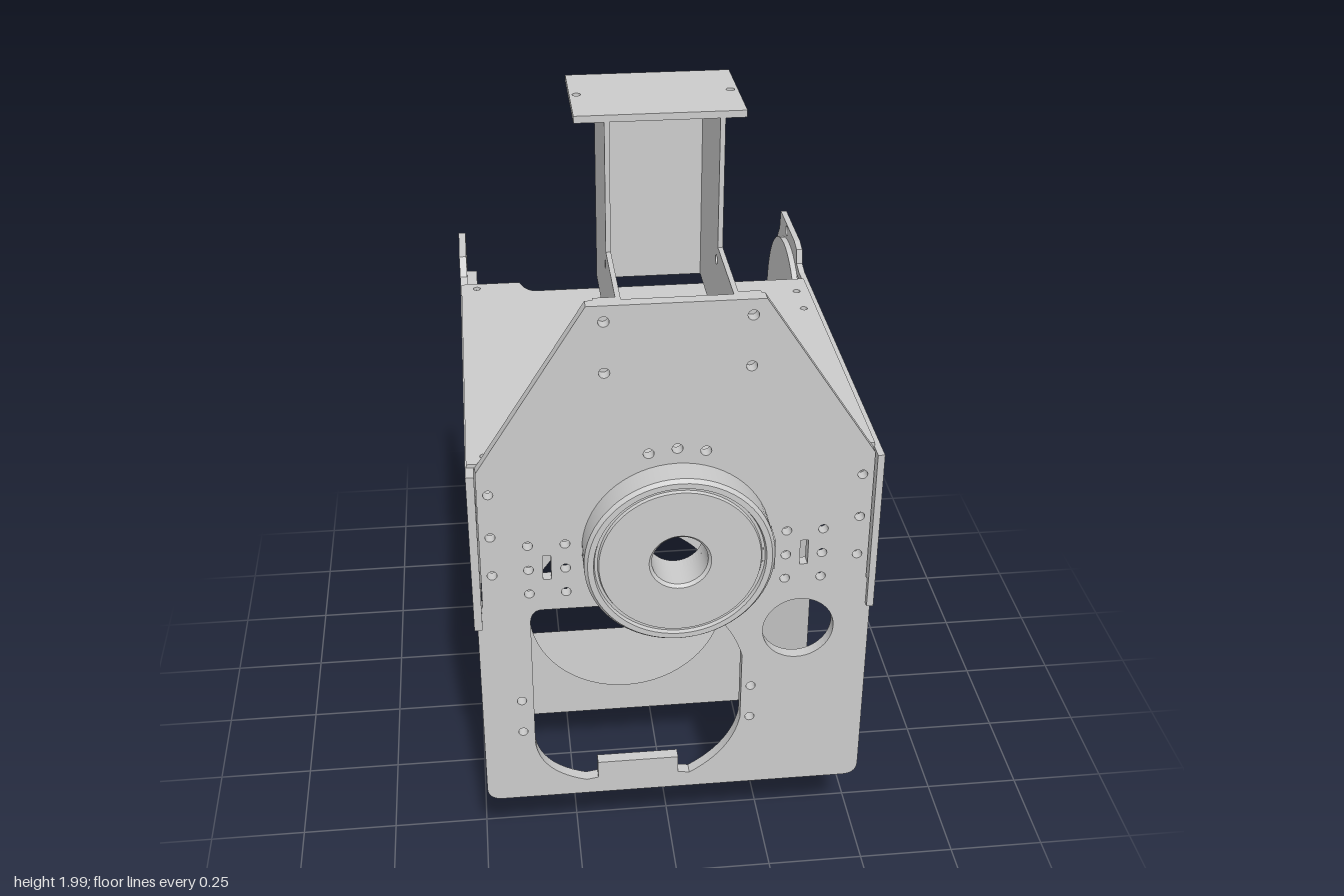
import * as THREE from 'three';

const mat = new THREE.MeshStandardMaterial({ color: 0xcccccc, side: THREE.DoubleSide });

function add(group, name, geo) {
  const mesh = new THREE.Mesh(geo, mat);
  mesh.name = name;
  group.add(mesh);
  return mesh;
}
function poly(points, T = THREE.Shape) {
  return new T(points.map(([x, y]) => new THREE.Vector2(x, y)));
}
function circle(shape, x, y, r) {
  shape.holes.push(new THREE.Path().absarc(x, y, r, 0, Math.PI * 2, true));
}
function rectHole(shape, x0, y0, x1, y1) {
  shape.holes.push(poly([[x0, y0], [x0, y1], [x1, y1], [x1, y0]], THREE.Path));
}
function sheet(shape, depth) {
  return new THREE.ExtrudeGeometry(shape, { depth, bevelEnabled: false, curveSegments: 24 });
}
// Sheet standing in the side plane: shape x runs towards the back
function sideSheet(shape, x, depth) {
  return sheet(shape, depth).rotateY(Math.PI / 2).translate(x, 0, 0);
}
// Flat fan of corner points
function panel(points) {
  const geo = new THREE.BufferGeometry();
  geo.setAttribute('position', new THREE.Float32BufferAttribute(points.flat(), 3));
  const index = [];
  for (let i = 1; i < points.length - 1; i++) index.push(0, i, i + 1);
  geo.setIndex(index);
  geo.computeVertexNormals();
  return geo;
}
function box(x0, x1, y0, y1, z0, z1) {
  return new THREE.BoxGeometry(x1 - x0, y1 - y0, z1 - z0)
    .translate((x0 + x1) / 2, (y0 + y1) / 2, (z0 + z1) / 2);
}

function frontPlate(g) {
  const s = new THREE.Shape();
  s.moveTo(-0.21, 1.66);
  for (const [x, y] of [[-0.475, 1.24], [-0.475, 0.86], [-0.49, 0.83], [-0.49, 0.28]]) s.lineTo(x, y);
  s.quadraticCurveTo(-0.49, 0.24, -0.45, 0.24);
  s.lineTo(0.45, 0.24);
  s.quadraticCurveTo(0.49, 0.24, 0.49, 0.28);
  for (const [x, y] of [[0.49, 0.85], [0.475, 0.88], [0.475, 1.24], [0.2, 1.66]]) s.lineTo(x, y);
  s.closePath();

  // large lower opening with a tab rising from its bottom edge
  const o = new THREE.Path();
  o.moveTo(-0.36, 0.42);
  o.quadraticCurveTo(-0.35, 0.32, -0.23, 0.285);
  for (const [x, y] of [[-0.2, 0.29], [-0.2, 0.34], [0.01, 0.34], [0.01, 0.29], [0.04, 0.285]]) o.lineTo(x, y);
  o.quadraticCurveTo(0.15, 0.35, 0.17, 0.46);
  o.lineTo(0.17, 0.66);
  o.quadraticCurveTo(0.14, 0.76, 0.08, 0.8);
  o.lineTo(-0.1, 0.84);
  o.lineTo(-0.33, 0.84);
  o.quadraticCurveTo(-0.36, 0.84, -0.36, 0.8);
  o.closePath();
  s.holes.push(o);

  circle(s, 0.31, 0.735, 0.09);
  circle(s, 0, 1.01, 0.068);
  for (const m of [-1, 1]) {
    for (const y of [1.18, 1.06, 0.95]) circle(s, m * 0.448, y, 0.012);
    for (const x of [0.36, 0.27]) for (const y of [1.03, 0.96, 0.89]) circle(s, m * x, y, 0.012);
    rectHole(s, m * 0.315 - 0.01, 0.93, m * 0.315 + 0.01, 1.0);
    for (const y of [1.62, 1.49]) circle(s, m * 0.17, y, 0.013);
    circle(s, m * 0.068, 1.27, 0.013);
  }
  circle(s, 0, 1.28, 0.013);
  for (const x of [-0.39, 0.195]) for (const y of [0.56, 0.46]) circle(s, x, y, 0.012);
  add(g, 'frontPlate', sheet(s, 0.03)).position.z = 0.645;
}

function hub(g) {
  const profile = [[0.068, 0], [0.23, 0], [0.23, 0.07], [0.222, 0.08], [0.208, 0.08],
    [0.205, 0.07], [0.198, 0.07], [0.195, 0.078], [0.075, 0.078], [0.068, 0.07], [0.068, 0]];
  // repeat corners so that the turned edges stay sharp
  const pts = profile.flatMap(([r, y]) => [new THREE.Vector2(r, y), new THREE.Vector2(r, y)]);
  add(g, 'frontHub', new THREE.LatheGeometry(pts, 64).rotateX(Math.PI / 2).translate(0, 1.01, 0.674));
  add(g, 'hubClip', box(0.2, 0.23, 0.97, 1.05, 0.68, 0.745));
}

function drillArm(s) {
  for (let i = 0; i < 6; i++) {
    const u = -0.54 + i * 0.153;
    rectHole(s, u, 0.97, u + (i === 5 ? 0.1 : 0.118), 1.07);
  }
  for (const u of [0.025, 0.135, 0.22, 0.36]) for (const y of [0.825, 1.21]) circle(s, u, y, 0.011);
  for (const u of [-0.155, -0.04]) for (const y of [0.935, 1.1]) circle(s, u, y, 0.011);
  for (const y of [0.91, 1.02, 1.13]) circle(s, -0.615, y, 0.011);
}

function sideArms(g) {
  // long arm with a rounded end
  const s = new THREE.Shape();
  s.moveTo(-0.69, 0.8);
  for (const [u, y] of [[0.33, 0.8], [0.35, 0.74], [0.38, 0.73], [0.55, 0.72], [0.65, 0.72], [0.665, 0.78]]) s.lineTo(u, y);
  s.quadraticCurveTo(0.75, 0.88, 0.75, 1.01);
  s.quadraticCurveTo(0.75, 1.15, 0.665, 1.24);
  for (const [u, y] of [[0.655, 1.3], [0.43, 1.3], [0.39, 1.29], [0.38, 1.25], [0.34, 1.24], [-0.69, 1.24]]) s.lineTo(u, y);
  s.closePath();
  drillArm(s);
  circle(s, 0.515, 1.02, 0.075);
  circle(s, 0.65, 1.015, 0.025);
  circle(s, 0.715, 1.015, 0.014);
  for (const [u, y] of [[0.41, 1.19], [0.41, 0.84], [0.55, 1.28], [0.55, 0.75], [0.575, 0.91]]) circle(s, u, y, 0.015);
  add(g, 'leftArm', sideSheet(s, 0.478, 0.017));

  // bearing disc inside the rounded end
  const d = new THREE.Shape().absarc(0.505, 1.01, 0.25, 0, Math.PI * 2);
  circle(d, 0.515, 1.02, 0.07);
  add(g, 'armDisc', sideSheet(d, 0.462, 0.016));

  // short arm with a flared square end
  const r = poly([[-0.69, 0.8], [0.33, 0.8], [0.36, 0.73], [0.4, 0.72], [0.59, 0.72], [0.6, 0.73],
    [0.6, 1.29], [0.59, 1.3], [0.42, 1.3], [0.39, 1.25], [0.35, 1.24], [-0.69, 1.24]]);
  drillArm(r);
  for (const y of [0.78, 0.93, 1.09, 1.25]) circle(r, 0.56, y, 0.014);
  add(g, 'rightArm', sideSheet(r, -0.498, 0.02));
  add(g, 'rightArmTab', box(-0.478, -0.45, 1.21, 1.24, -0.45, -0.3));
}

function topPlate(g) {
  const s = new THREE.Shape();
  s.moveTo(-0.495, 0.645);
  for (const [x, z] of [[-0.176, 0.645], [-0.176, 0.5], [0.17, 0.5], [0.17, 0.645], [0.48, 0.645], [0.48, -0.28], [-0.29, -0.28]]) s.lineTo(x, z);
  s.quadraticCurveTo(-0.32, -0.29, -0.33, -0.34);
  s.lineTo(-0.495, -0.34);
  s.closePath();
  for (const [x, z] of [[-0.452, 0.61], [0.445, 0.61], [0.445, -0.09], [0.445, -0.2], [-0.452, -0.31]]) circle(s, x, z, 0.01);
  add(g, 'topPlate', sheet(s, 0.014).rotateX(Math.PI / 2).translate(0, 1.249, 0));
}

function chimney(g) {
  // L-shaped side walls reach forward to the front plate
  const side = [[-0.645, 1.455], [-0.085, 1.455], [-0.085, 1.985], [-0.388, 1.985], [-0.388, 1.66], [-0.645, 1.66]];
  for (const m of [-1, 1]) {
    const s = poly(side);
    for (const y of [1.49, 1.62]) circle(s, -0.388 + 0.02, y, 0.012);
    add(g, 'chimneySide', sideSheet(s, m * 0.134 - 0.006, 0.012));
    add(g, 'chimneyFlange', box(m * 0.16 - 0.032, m * 0.16 + 0.032, 1.455, 1.66, 0.632, 0.645));
  }
  add(g, 'chimneyBack', box(-0.14, 0.14, 1.455, 1.985, 0.08, 0.092));
  const cap = poly([[-0.21, 0.095], [0.19, 0.095], [0.19, 0.388], [-0.21, 0.388]]);
  for (const x of [-0.193, 0.172]) circle(cap, x, 0.24, 0.01);
  add(g, 'chimneyCap', sheet(cap, 0.017).rotateX(Math.PI / 2).translate(0, 2, 0));
  for (const x of [-0.16, 0.145]) add(g, 'capClip', box(x - 0.012, x + 0.012, 1.965, 1.985, 0.22, 0.27));
}

function chute(g) {
  // plan with one cut-off corner; the floor falls towards the open back
  const plan = [[-0.465, -0.335], [-0.465, 0.295], [0.24, 0.295], [0.48, 0.04], [0.48, -0.335]];
  const top = 0.82;
  const floorY = (z) => 0.01 + (z + 0.335) * 0.302;
  const low = plan.map(([x, z]) => [x, floorY(z), z]);
  const high = plan.map(([x, z]) => [x, top, z]);
  add(g, 'chuteFloor', panel([...low].reverse()));
  add(g, 'chuteCeiling', panel(high));
  for (const i of [0, 2, 3]) add(g, 'chuteWall', panel([low[i], low[i + 1], high[i + 1], high[i]]));
  const f = poly([[-0.465, 0.2], [0.24, 0.2], [0.24, top], [-0.465, top]]);
  circle(f, -0.09, 0.55, 0.265);
  add(g, 'chuteFront', new THREE.ShapeGeometry(f, 32).translate(0, 0, 0.295));
}

export function createModel() {
  const model = new THREE.Group();
  model.name = 'machineHousing';
  const parts = { frontPanel: frontPlate, hub, sideArms, deck: topPlate, chimney, chute };
  for (const [name, build] of Object.entries(parts)) {
    const g = new THREE.Group();
    g.name = name;
    build(g);
    model.add(g);
  }
  return model;
}
